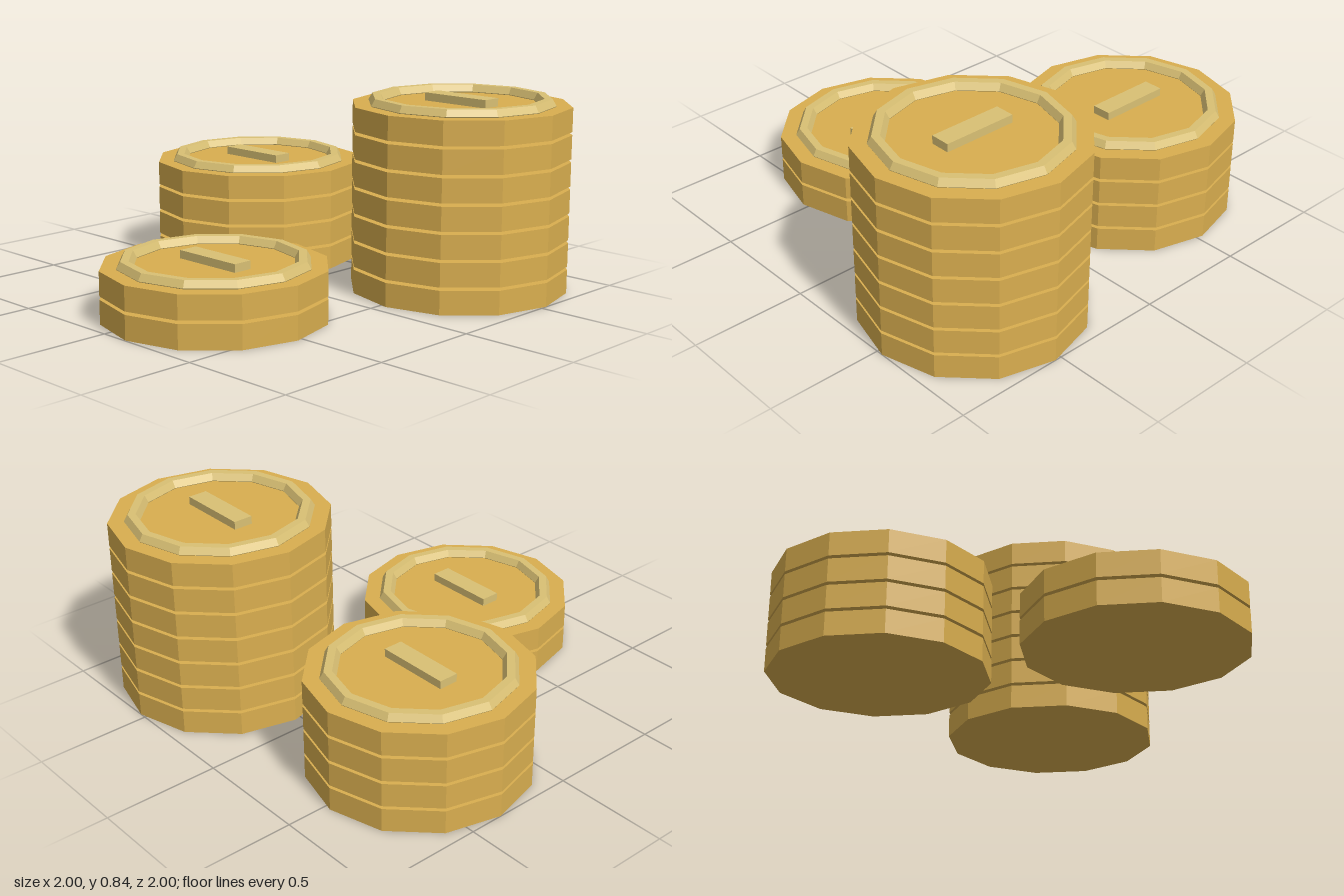
import * as THREE from 'three';

export function createModel() {
  const gold = new THREE.MeshStandardMaterial({ color: 0xd9ae4f, flatShading: true });
  gold.name = 'gold';
  const paleGold = new THREE.MeshStandardMaterial({ color: 0xd9c074, flatShading: true });
  paleGold.name = 'paleGold';

  const pitch = 0.1165; // coin thickness plus the gap above it
  const thickness = 0.103;

  const coinGeo = new THREE.CylinderGeometry(0.471, 0.471, thickness, 12);
  const rimGeo = new THREE.TorusGeometry(0.368, 0.034, 6, 12).rotateX(-Math.PI / 2);
  const barGeo = new THREE.BoxGeometry(0.326, 0.036, 0.086);

  const model = new THREE.Group();
  model.name = 'coinStacks';

  function add(parent, geometry, material, name, y) {
    const mesh = new THREE.Mesh(geometry, material);
    mesh.name = name;
    mesh.position.y = y;
    parent.add(mesh);
  }

  // A stack of separate coins; the top one has a raised rim and a bar
  function addStack(name, x, z, count) {
    const stack = new THREE.Group();
    stack.name = name;
    stack.position.set(x, 0, z);
    for (let i = 0; i < count; i++) {
      add(stack, coinGeo, gold, 'coin' + (i + 1), i * pitch + thickness / 2);
    }
    const top = (count - 1) * pitch + thickness;
    add(stack, rimGeo, paleGold, 'rim', top + 0.003);
    add(stack, barGeo, paleGold, 'bar', top + 0.017);
    model.add(stack);
  }

  addStack('tallStack', 0.529, -0.529, 7);
  addStack('middleStack', -0.529, -0.35, 4);
  addStack('shortStack', 0.125, 0.526, 2);
  return model;
}
